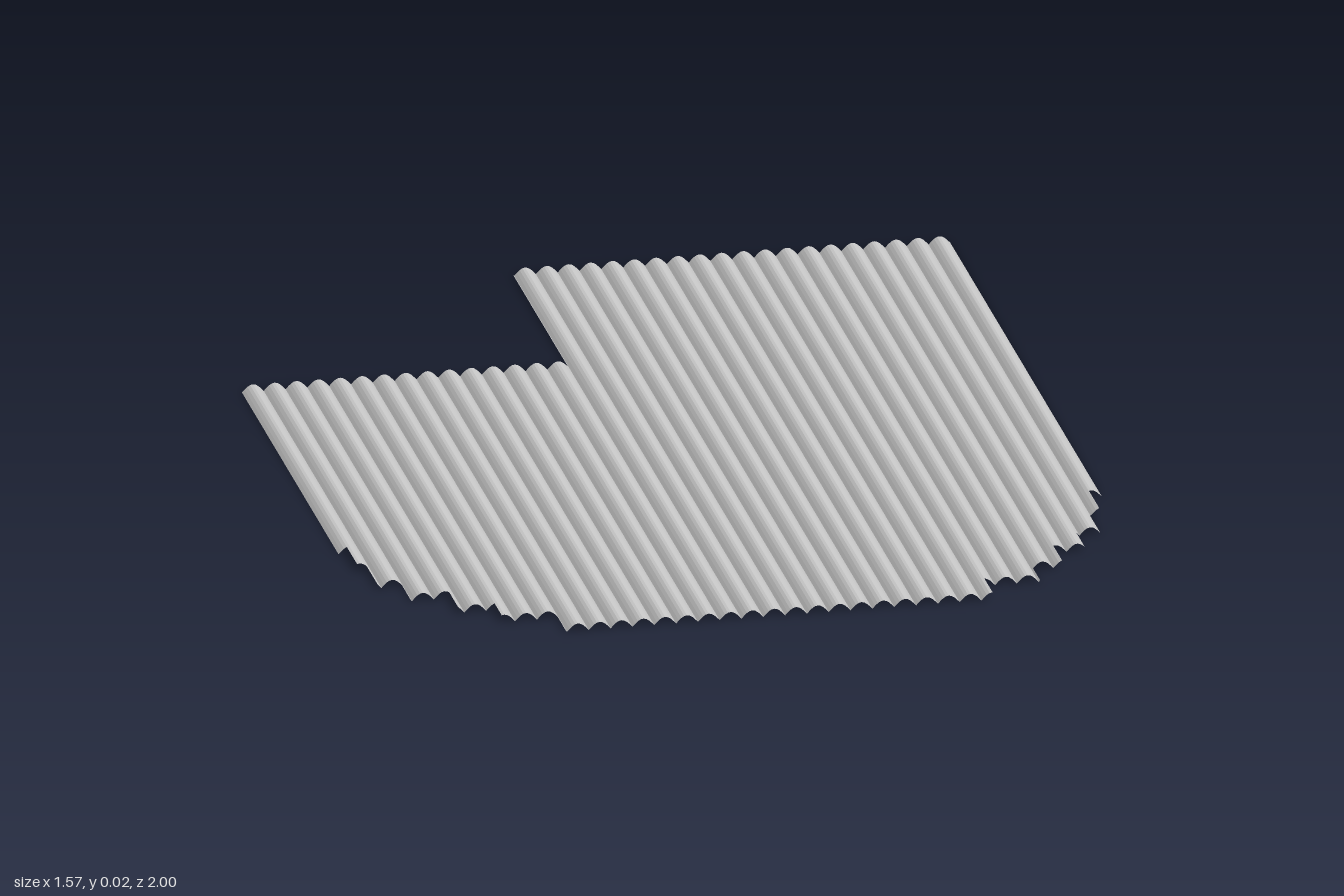
import * as THREE from 'three';

const LEFT = -0.787, RIGHT = 0.787, WAVES = 35, HEIGHT = 0.016, FACETS = 8;
const PITCH = (RIGHT - LEFT) / WAVES;
const STEP = PITCH / FACETS;

// Height of the corrugation: rounded ridges meeting in narrow valleys
const ridge = (x) => HEIGHT * Math.abs(Math.sin((Math.PI * (x - LEFT)) / PITCH));

// A rectangular piece of corrugated sheet, its columns aligned to the ridges
function panel(x0, x1, zBack, zFront, material) {
  const xs = [x0];
  for (let i = 0; i <= WAVES * FACETS; i++) {
    const x = LEFT + i * STEP;
    if (x > x0 + 1e-4 && x < x1 - 1e-4) xs.push(x);
  }
  xs.push(x1);
  const geometry = new THREE.PlaneGeometry(1, zFront - zBack, xs.length - 1, 1);
  geometry.rotateX(-Math.PI / 2).translate(0, 0, (zBack + zFront) / 2);
  const position = geometry.attributes.position;
  for (let i = 0; i < position.count; i++) {
    const x = xs[i % xs.length];
    position.setX(i, x);
    position.setY(i, ridge(x));
  }
  geometry.computeVertexNormals();
  const mesh = new THREE.Mesh(geometry, material);
  mesh.name = 'corrugatedPanel';
  return mesh;
}

export function createModel() {
  const group = new THREE.Group();
  group.name = 'corrugatedRoofSheet';
  const material = new THREE.MeshStandardMaterial({
    color: 0xcccccc, side: THREE.DoubleSide, flatShading: true,
  });

  // Stepped outline: left edge, right edge and front end of each panel
  const panels = [
    [LEFT, -0.77, 0.475], [-0.77, -0.75, 0.575], [-0.75, -0.70, 0.68],
    [-0.70, -0.62, 0.765], [-0.62, -0.545, 0.85], [-0.545, -0.43, 0.92],
    [-0.43, -0.115, 1], [-0.115, 0.45, 1], [0.45, 0.565, 0.92],
    [0.565, 0.625, 0.85], [0.625, 0.69, 0.765], [0.69, 0.74, 0.68],
    [0.74, 0.76, 0.575], [0.76, RIGHT, 0.475],
  ];
  for (const [x0, x1, zFront] of panels) {
    // The back right corner is cut away
    const zBack = x0 < -0.12 ? -0.465 : -1;
    group.add(panel(x0, x1, zBack, zFront, material));
  }
  return group;
}
